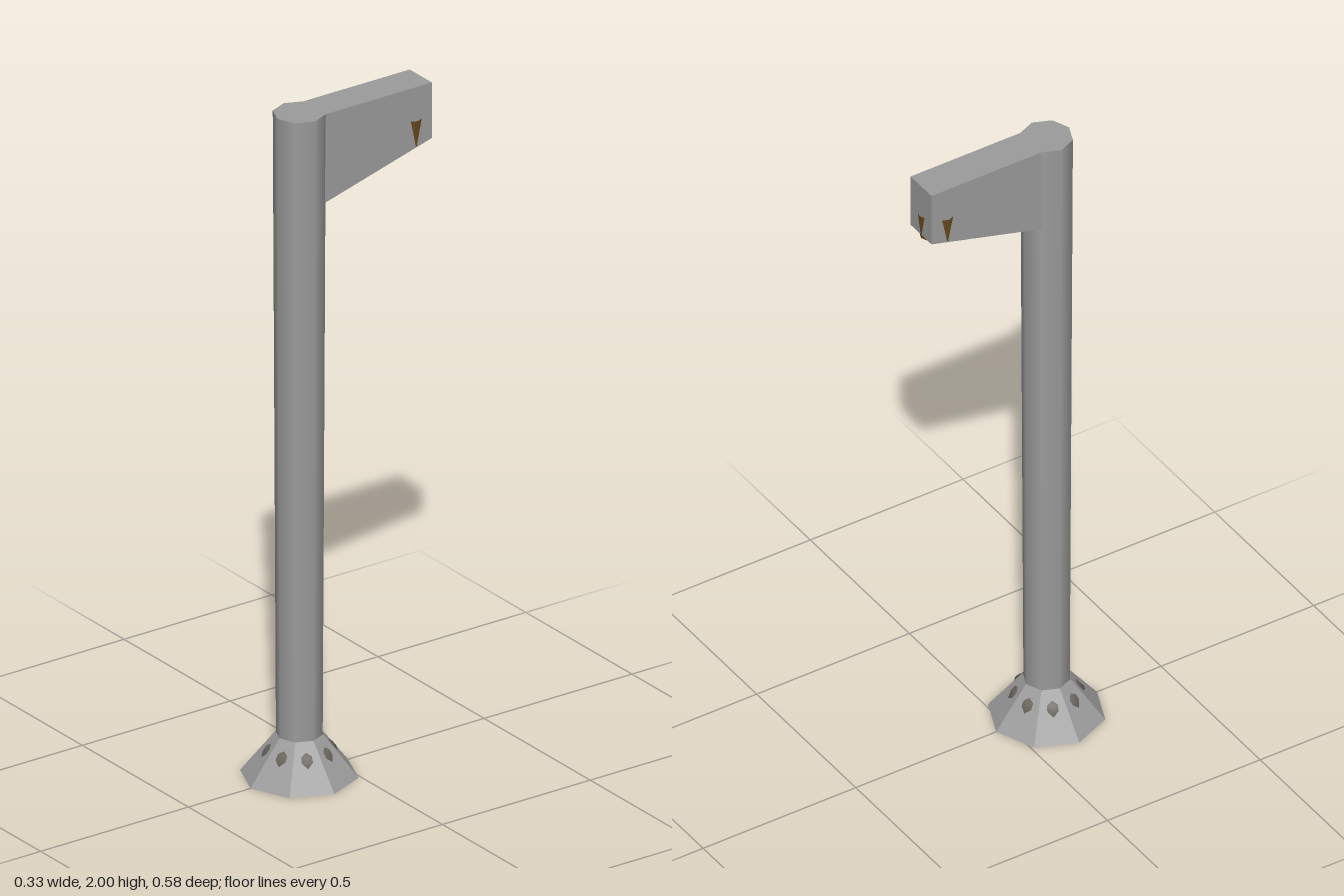
import * as THREE from 'three';

export function createModel() {
  const group = new THREE.Group();
  const postZ = 0.125;
  const grey = new THREE.MeshStandardMaterial({ color: 0x9c9c9c });
  const flatGrey = new THREE.MeshStandardMaterial({ color: 0x9c9c9c, flatShading: true, side: THREE.DoubleSide });
  const domeGrey = new THREE.MeshStandardMaterial({ color: 0x67635a });
  const brown = new THREE.MeshStandardMaterial({ color: 0x6a4a20 });

  const add = (name, geometry, material, y, z) => {
    const mesh = new THREE.Mesh(geometry, material);
    mesh.name = name;
    mesh.position.set(0, y, z);
    group.add(mesh);
  };

  // Eight-sided post, slightly wider at the top, rounded by smooth normals
  add('post', new THREE.CylinderGeometry(0.074, 0.065, 1.9, 8), grey, 1.05, postZ);

  // Flared open skirt at the foot
  add('baseSkirt', new THREE.CylinderGeometry(0.067, 0.165, 0.125, 8, 1, true), flatGrey, 0.0625, postZ);

  // Squashed eight-sided ball whose corners break through the middle of each skirt facet
  const dome = new THREE.SphereGeometry(0.108, 8, 12).rotateY(Math.PI / 8).scale(1, 0.06 / 0.108, 1);
  add('baseDome', dome, domeGrey, 0.06, postZ);

  // Tapered arm: side profile in (-z, y), extruded across x
  const profile = new THREE.Shape([
    [0.1, 2], [0.1, 1.726], [-0.286, 1.832], [-0.286, 2],
  ].map(([z, y]) => new THREE.Vector2(-z, y)));
  const arm = new THREE.ExtrudeGeometry(profile, { depth: 0.105, bevelEnabled: false });
  arm.translate(0, 0, -0.0525).rotateY(Math.PI / 2);
  add('arm', arm, flatGrey, 0, 0);

  // Lamp cup, open at the top, its corners breaking through the arm's walls
  const cup = [[0, 1.819], [0.053, 1.82], [0.053, 1.82], [0.06, 1.9]].map(([r, y]) => new THREE.Vector2(r, y));
  add('lamp', new THREE.LatheGeometry(cup, 8), brown, 0, -0.233);

  return group;
}
